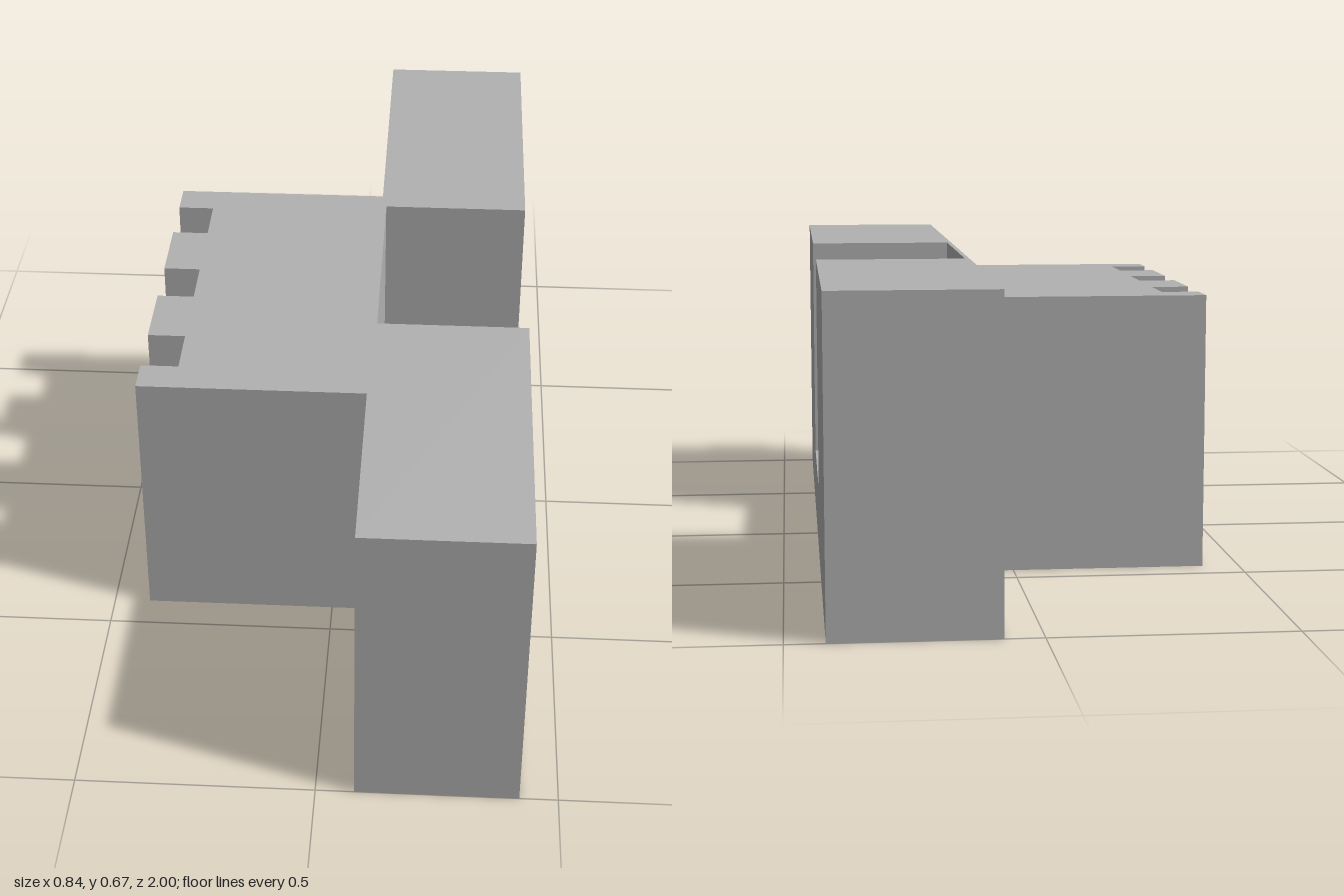
import * as THREE from 'three';

const grey = new THREE.MeshStandardMaterial({ color: 0xb2b2b2 });
grey.name = 'plain grey';

function extrude(points, depth) {
  const shape = new THREE.Shape(points.map(([x, y]) => new THREE.Vector2(x, y)));
  return new THREE.ExtrudeGeometry(shape, { depth, bevelEnabled: false });
}

function addPart(group, name, geometry) {
  const mesh = new THREE.Mesh(geometry, grey);
  mesh.name = name;
  group.add(mesh);
  return mesh;
}

export function createModel() {
  const group = new THREE.Group();
  group.name = 'notchedBlock';

  const back = 0.08, side = 0.42;      // long bar spans these x values
  const height = 0.67, floor = 0.155;  // bar top and recess floor
  const recess = 0.257;                // half width of the recess
  const wall = 0.01;                   // thin wall left behind the recess

  // Long bar: U-shaped section swept along x
  const bar = extrude([
    [-1, 0], [1, 0], [1, height], [recess, height],
    [recess, floor], [-recess, floor], [-recess, height], [-1, height],
  ], side - back);
  bar.rotateY(Math.PI / 2);
  addPart(group, 'longBar', bar).position.x = back;

  // Thin wall closing the inner side of the recess
  const wallHeight = height - floor;
  addPart(group, 'recessWall', new THREE.BoxGeometry(wall, wallHeight, 2 * recess))
    .position.set(back + wall / 2, floor + wallHeight / 2, 0);

  // Lower block with three vertical slots; outline is (x, -z)
  const end = -0.42, slotEnd = -0.337, halfSlot = 0.06;
  const outline = [[back, -0.425], [back, 0.43], [end, 0.43]];
  for (const centre of [0.287, 0, -0.285]) {
    outline.push([end, centre + halfSlot], [slotEnd, centre + halfSlot],
      [slotEnd, centre - halfSlot], [end, centre - halfSlot]);
  }
  outline.push([end, -0.425]);
  const block = extrude(outline, 0.6);
  block.rotateX(-Math.PI / 2);
  addPart(group, 'slottedBlock', block);

  return group;
}
